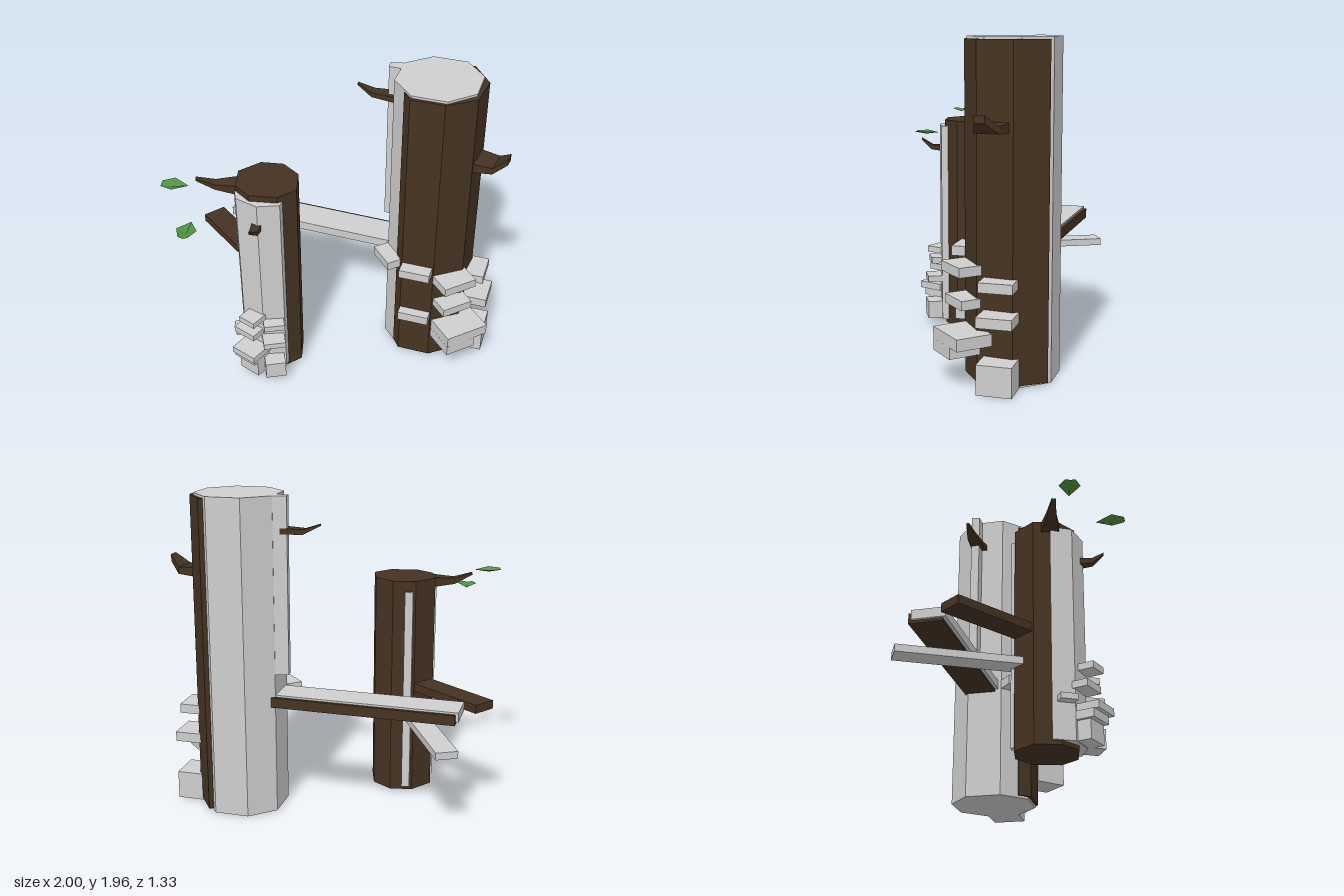
import * as THREE from 'three';

const V = (x, y, z) => new THREE.Vector3(x, y, z);

export function createModel() {
  const model = new THREE.Group();
  model.name = 'treeStumps';
  const mat = (name, color, side = THREE.FrontSide) => {
    const m = new THREE.MeshStandardMaterial({ color, flatShading: true, side });
    m.name = name;
    return m;
  };
  const bark = mat('darkBark', 0x453321);
  const pale = mat('paleWood', 0xcecece);
  const green = mat('leafGreen', 0x4f9440, THREE.DoubleSide);

  const add = (name, geo, material) => {
    const mesh = new THREE.Mesh(geo, material);
    mesh.name = name;
    model.add(mesh);
    return mesh;
  };

  // Upright prism from an [x, z] outline
  const prism = (name, outline, y0, y1, material) => {
    const shape = new THREE.Shape(outline.map(([x, z]) => new THREE.Vector2(x, -z)));
    const geo = new THREE.ExtrudeGeometry(shape, { depth: y1 - y0, bevelEnabled: false });
    geo.rotateX(-Math.PI / 2).translate(0, y0, 0);
    return add(name, geo, material);
  };

  // Block whose depth points along the horizontal direction (nx, nz)
  const block = (name, x, z, y0, y1, w, d, [nx, nz], material) => {
    const mesh = add(name, new THREE.BoxGeometry(w, y1 - y0, d), material);
    mesh.position.set(x, (y0 + y1) / 2, z);
    mesh.rotation.y = Math.atan2(nx, nz);
    return mesh;
  };

  // Horizontal plank between two [x, z] points
  const plank = (name, [ax, az], [bx, bz], y0, y1, w, material) =>
    block(name, (ax + bx) / 2, (az + bz) / 2, y0, y1, w,
      Math.hypot(bx - ax, bz - az), [bx - ax, bz - az], material);

  // Tapered twig through rectangular sections [x, y, z, width, height]
  const twig = (name, sections) => {
    const first = sections[0], last = sections[sections.length - 1];
    const side = V(0, 1, 0).cross(V(last[0] - first[0], 0, last[2] - first[2])).normalize();
    const rings = sections.map(([x, y, z, w, h]) =>
      [[-1, -1], [1, -1], [1, 1], [-1, 1]].map(([s, t]) =>
        V(x, y + t * h / 2, z).addScaledVector(side, s * w / 2)));
    const pts = [];
    const quad = (a, b, c, d) => pts.push(a, b, c, a, c, d);
    for (let r = 0; r < rings.length - 1; r++) {
      for (let i = 0; i < 4; i++) {
        const j = (i + 1) % 4;
        quad(rings[r][i], rings[r][j], rings[r + 1][j], rings[r + 1][i]);
      }
    }
    quad(...rings[rings.length - 1]);
    quad(...[...rings[0]].reverse());
    const geo = new THREE.BufferGeometry().setFromPoints(pts);
    geo.computeVertexNormals();
    return add(name, geo, bark);
  };

  // Tall trunk: pale core with bark wrapped round the front and one side
  prism('tallTrunkCore', [[0.47, -0.515], [0.68, -0.49], [0.795, -0.33], [0.775, -0.12],
    [0.62, 0.005], [0.41, -0.02], [0.285, -0.18], [0.31, -0.4]], 0, 1.955, pale);
  prism('tallTrunkBark', [[0.36, -0.075], [0.405, 0], [0.61, 0.022], [0.785, -0.08],
    [0.83, -0.29], [0.725, -0.478], [0.6, -0.4]], 0.015, 1.94, bark);
  prism('tallTrunkRidge', [[0.228, -0.388], [0.33, -0.4], [0.33, -0.32], [0.228, -0.335]],
    0.885, 1.955, pale);
  twig('tallTrunkLeftTwig', [[0.34, 1.752, -0.335, 0.11, 0.038],
    [0.13, 1.75, -0.367, 0.065, 0.03], [0.033, 1.793, -0.383, 0.018, 0.012]]);
  twig('tallTrunkRightTwig', [[0.76, 1.468, -0.185, 0.19, 0.066],
    [0.92, 1.466, -0.16, 0.15, 0.042], [0.995, 1.53, -0.135, 0.06, 0.045]]);

  // Short trunk: bark with a pale patch on the front and a sliver behind
  prism('shortTrunk', [[-0.35, -0.01], [-0.235, 0.08], [-0.207, 0.24], [-0.3, 0.34],
    [-0.47, 0.355], [-0.575, 0.27], [-0.6, 0.12], [-0.49, 0]], 0.02, 1.395, bark);
  prism('shortTrunkPatch', [[-0.602, 0.22], [-0.553, 0.345], [-0.41, 0.4], [-0.28, 0.36],
    [-0.275, 0.3], [-0.4, 0.2]], 0.045, 1.355, pale);
  prism('shortTrunkSliver', [[-0.475, -0.022], [-0.425, -0.022], [-0.425, 0.04],
    [-0.475, 0.04]], 0.045, 1.33, pale);
  twig('shortTrunkTopTwig', [[-0.55, 1.358, 0.215, 0.12, 0.066],
    [-0.71, 1.36, 0.238, 0.06, 0.036], [-0.82, 1.402, 0.263, 0.025, 0.014]]);
  twig('shortTrunkFrontTwig', [[-0.42, 1.195, 0.35, 0.065, 0.045],
    [-0.42, 1.2, 0.455, 0.05, 0.03], [-0.42, 1.252, 0.525, 0.015, 0.014]]);

  // Beams and planks reaching out of the trunks
  plank('longBeam', [0.42, -0.285], [-0.805, -0.44], 0.7, 0.757, 0.2, pale);
  plank('longBeamUnderside', [0.42, -0.306], [-0.785, -0.459], 0.683, 0.745, 0.2, bark);
  plank('barkPlank', [-0.43, 0.155], [-0.935, -0.297], 0.69, 0.742, 0.148, bark);
  plank('palePlank', [-0.475, 0.05], [-0.738, -0.643], 0.511, 0.555, 0.134, pale);

  // Shelf fungus on the tall trunk: x, z, bottom, top, width, depth
  const shelves = (name, normal, rows) =>
    rows.forEach((row) => block(name, ...row, normal, pale));
  shelves('tallFrontShelf', [-0.1, 0.99], [
    [0.5, 0.05, 0.7, 0.757, 0.195, 0.09],
    [0.503, 0.035, 0.325, 0.385, 0.2, 0.075],
  ]);
  shelves('tallCornerShelf', [0.63, 0.78], [
    [0.745, 0.0125, 0.64, 0.697, 0.225, 0.15],
    [0.7375, -0.0025, 0.45, 0.505, 0.207, 0.148],
    [0.795, 0.0015, 0.25, 0.32, 0.295, 0.22],
    [0.76, 0.03, 0.18, 0.25, 0.206, 0.22],
  ]);
  shelves('tallSideShelf', [0.99, 0.1], [
    [0.86, -0.215, 0.575, 0.632, 0.197, 0.14],
    [0.875, -0.215, 0.385, 0.445, 0.205, 0.18],
    [0.872, -0.215, 0, 0.175, 0.205, 0.18],
  ]);
  shelves('tallLeftShelf', [-0.79, 0.61], [[0.3, -0.075, 0.7, 0.757, 0.19, 0.1]]);

  // Shelf fungus on the short trunk
  shelves('shortFrontShelf', [-0.43, 0.9], [
    [-0.47, 0.415, 0.47, 0.51, 0.12, 0.13],
    [-0.5, 0.39, 0.345, 0.387, 0.16, 0.13],
    [-0.485, 0.435, 0.215, 0.26, 0.18, 0.17],
    [-0.49, 0.41, 0.165, 0.215, 0.17, 0.16],
    [-0.475, 0.4, 0.05, 0.165, 0.15, 0.13],
  ]);
  shelves('shortRightShelf', [0.37, 0.93], [
    [-0.345, 0.395, 0.43, 0.47, 0.13, 0.12],
    [-0.345, 0.41, 0.303, 0.343, 0.14, 0.14],
    [-0.345, 0.41, 0.05, 0.165, 0.13, 0.14],
  ]);
  shelves('shortLeftShelf', [-0.92, 0.38], [[-0.595, 0.305, 0.26, 0.295, 0.1, 0.07]]);

  // Leaves: two halves folded along a low spine, tip towards -z before turning
  const leaf = (name, x, y, z, turn) => {
    const tip = V(0, 0.012, -0.085), mid = V(0, 0, 0.005), end = V(0, 0.012, 0.08);
    const pts = [];
    for (const s of [-1, 1]) {
      const wide = V(s * 0.062, 0.022, 0.005), back = V(s * 0.03, 0.02, 0.075);
      for (const [a, b, c] of [[tip, wide, mid], [wide, back, mid], [back, end, mid]]) {
        pts.push(...(s < 0 ? [a, b, c] : [a, c, b]));
      }
    }
    const geo = new THREE.BufferGeometry().setFromPoints(pts);
    geo.computeVertexNormals();
    const mesh = add(name, geo, green);
    mesh.position.set(x, y, z);
    mesh.rotation.y = turn;
  };
  leaf('upperLeaf', -0.919, 1.396, 0.36, -Math.PI / 2 + 0.12);
  leaf('lowerLeaf', -0.781, 1.245, 0.58, 0);

  return model;
}
